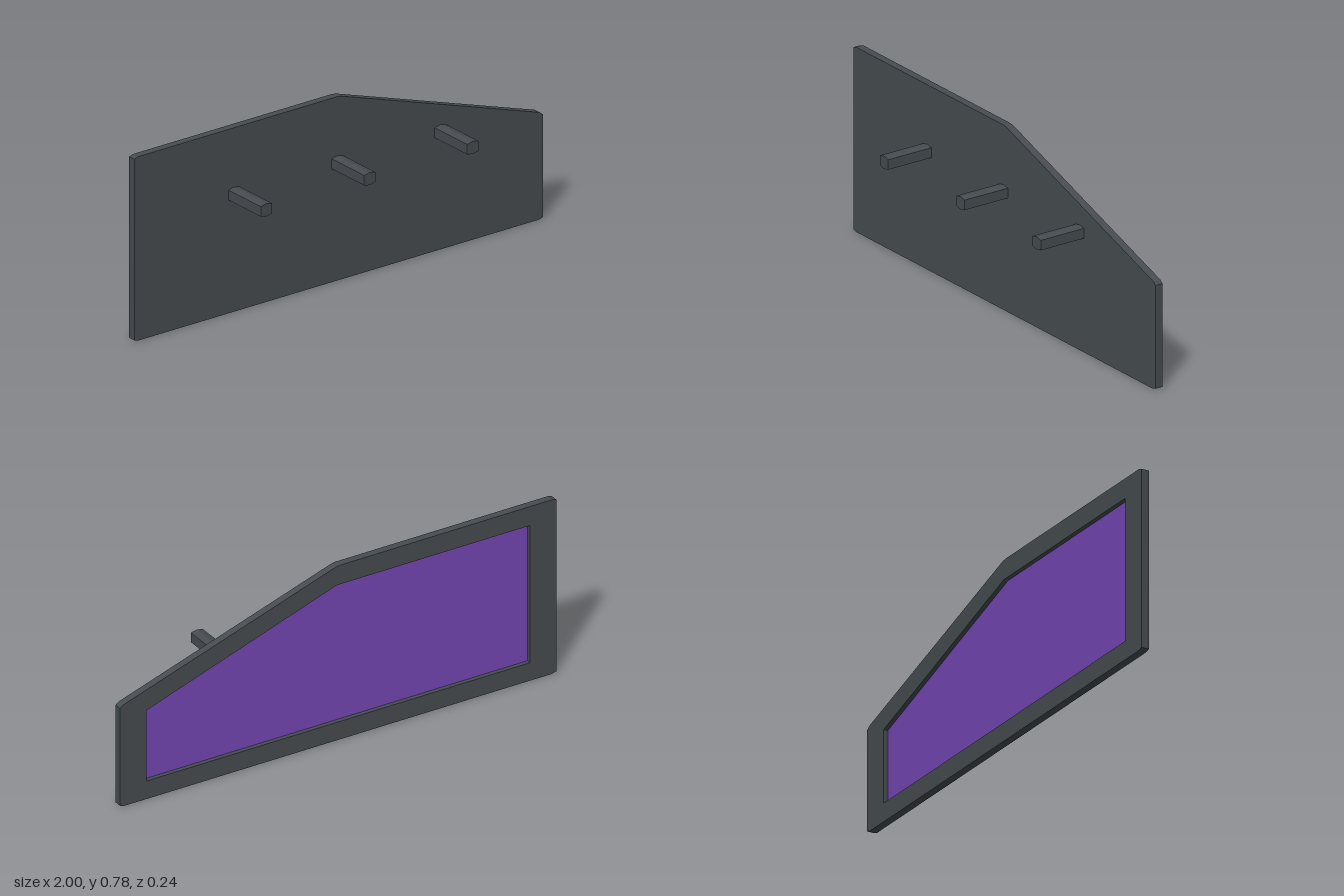
import * as THREE from 'three';

const BACK = -0.12, FLOOR = -0.1, FRONT = -0.087;

const toPoints = (pairs) => pairs.map(([x, y]) => new THREE.Vector2(x, y));

// Panel outline with clipped corners
const outline = toPoints([
  [-0.98, 0], [0.98, 0], [1, 0.006], [1, 0.44], [0.985, 0.452],
  [0.012, 0.774], [-0.008, 0.777], [-0.98, 0.777], [-1, 0.771], [-1, 0.006],
]);

// Recess outline on the back
const recess = toPoints([
  [-0.88, 0.08], [0.88, 0.08], [0.88, 0.395], [0.005, 0.692], [-0.88, 0.692],
]);

// Elongated hexagonal section of a peg
const pegSection = toPoints([
  [0, -0.027], [0.0275, -0.021], [0.0275, 0.021],
  [0, 0.027], [-0.0275, 0.021], [-0.0275, -0.021],
]);

function slab(name, shape, z0, z1, material) {
  const geometry = new THREE.ExtrudeGeometry(shape, { depth: z1 - z0, bevelEnabled: false });
  geometry.translate(0, 0, z0);
  const mesh = new THREE.Mesh(geometry, material);
  mesh.name = name;
  return mesh;
}

export function createModel() {
  const group = new THREE.Group();
  group.name = 'wallPanel';
  const dark = new THREE.MeshStandardMaterial({ color: 0x464c50, flatShading: true });
  const purple = new THREE.MeshStandardMaterial({ color: 0x7446b4 });

  // Raised rim around the recess, and the solid front plate
  const rim = new THREE.Shape(outline);
  rim.holes.push(new THREE.Path(recess));
  group.add(slab('rim', rim, BACK, FLOOR, dark));
  group.add(slab('frontPlate', new THREE.Shape(outline), FLOOR, FRONT, dark));

  // Coloured inlay on the recess floor, facing back
  group.add(slab('inlay', new THREE.Shape(recess), FLOOR - 0.001, FLOOR + 0.002, purple));

  // Three pegs on the front
  for (const x of [-0.512, -0.006, 0.498]) {
    const peg = slab('peg', new THREE.Shape(pegSection), FRONT - 0.003, 0.12, dark);
    peg.position.set(x, 0.5, 0);
    group.add(peg);
  }
  return group;
}
